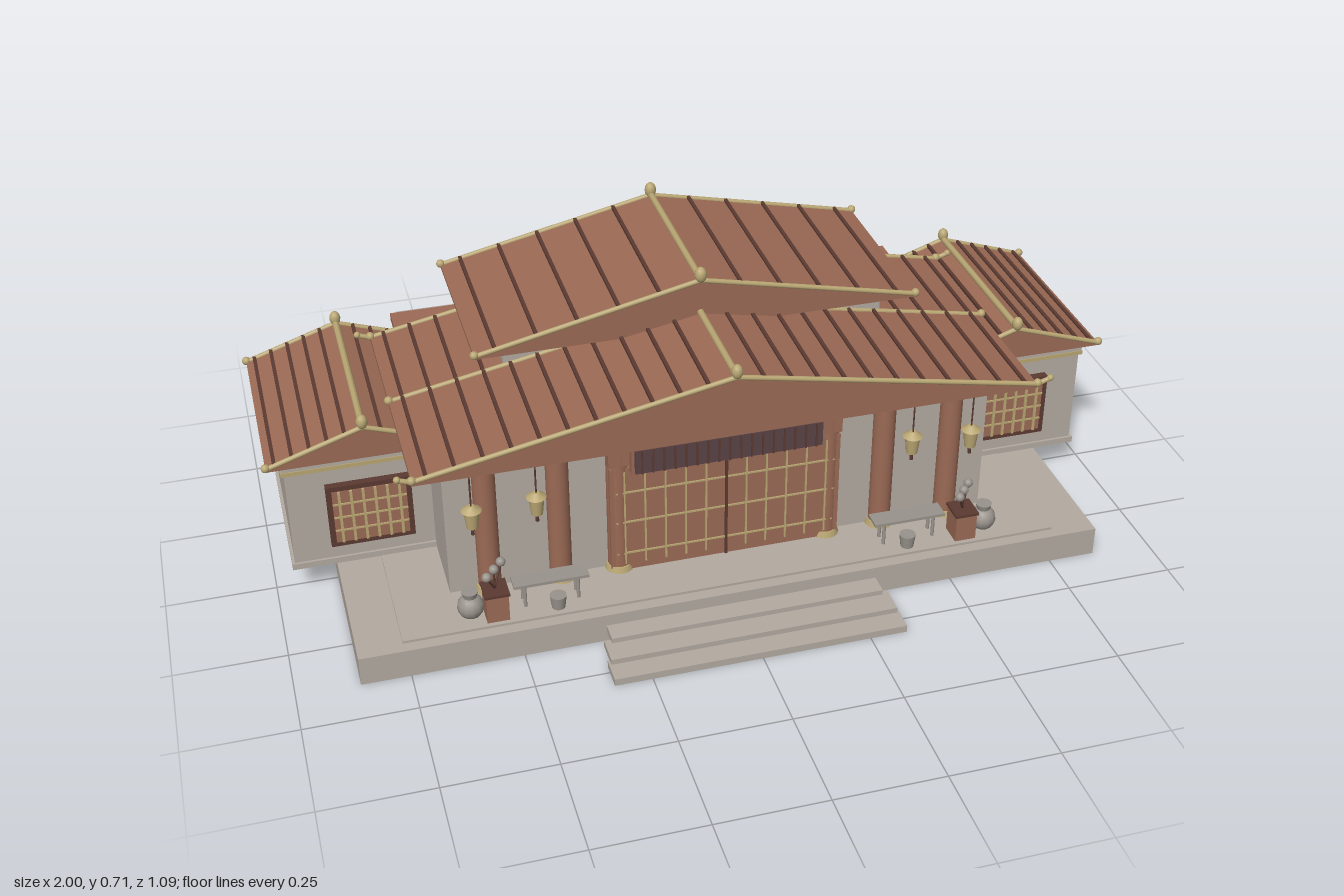
import * as THREE from 'three';

const mat = (name, color, extra = {}) => Object.assign(new THREE.MeshStandardMaterial({ color, ...extra }), { name });

export function createModel() {
  const M = {
    stone: mat('pale stone', 0xb3aaa1),
    tile: mat('terracotta', 0x9b6a55),
    dark: mat('dark wood', 0x5a3a31),
    gold: mat('old gold', 0xb9a673),
    grate: mat('plum grate', 0x5a4347),
    pot: mat('grey ceramic', 0x99938c),
  };
  const root = new THREE.Group();
  root.name = 'courtyardHall';

  const add = (name, geo, m, x = 0, y = 0, z = 0) => {
    const mesh = new THREE.Mesh(geo, m);
    mesh.name = name;
    mesh.position.set(x, y, z);
    root.add(mesh);
    return mesh;
  };
  // box given by its limits on each axis
  const box = (name, m, x0, x1, y0, y1, z0, z1) =>
    add(name, new THREE.BoxGeometry(Math.abs(x1 - x0), y1 - y0, z1 - z0), m, (x0 + x1) / 2, (y0 + y1) / 2, (z0 + z1) / 2);
  const cyl = (name, m, x, z, y0, y1, r0, r1 = r0) =>
    add(name, new THREE.CylinderGeometry(r1, r0, y1 - y0, 16), m, x, (y0 + y1) / 2, z);
  const ball = (name, m, x, y, z, r, stretch = 1) => {
    add(name, new THREE.SphereGeometry(r, 12, 8), m, x, y, z).scale.y = stretch;
  };
  const rod = (name, m, a, b, r) => {
    const p = new THREE.Vector3(...a), q = new THREE.Vector3(...b), d = q.clone().sub(p);
    const mesh = add(name, new THREE.CylinderGeometry(r, r, d.length(), 8), m);
    mesh.position.copy(p).add(q).multiplyScalar(0.5);
    mesh.quaternion.setFromUnitVectors(new THREE.Vector3(0, 1, 0), d.normalize());
  };
  const prism = (name, m, pts, z0, z1) => {
    const shape = new THREE.Shape(pts.map(p => new THREE.Vector2(...p)));
    add(name, new THREE.ExtrudeGeometry(shape, { depth: z1 - z0, bevelEnabled: false }), m, 0, 0, z0);
  };

  // gable roof: solid prism, battens along z, trim on the slopes, ridge and finials
  const roof = (name, cx, half, yb, ye, ya, z0, z1, battens, big) => {
    prism(name, M.tile, [[cx - half, yb], [cx + half, yb], [cx + half, ye], [cx, ya], [cx - half, ye]], z0, z1);
    const yAt = t => ya + (ye - ya) * t;
    for (const s of [-1, 1]) {
      for (let i = 1; i <= battens; i++) {
        const t = i / (battens + 0.5), x = cx + s * half * t;
        box(name + 'Batten', M.dark, x - 0.004, x + 0.004, yAt(t) - 0.004, yAt(t) + 0.006, z0, z1);
      }
      for (const z of [z0, z1]) {
        rod(name + 'SlopeTrim', M.gold, [cx, ya, z], [cx + s * half, ye, z], 0.006);
        ball(name + 'EaveKnob', M.gold, cx + s * half, ye + 0.003, z, 0.01);
      }
    }
    rod(name + 'Ridge', M.gold, [cx, ya + 0.004, z0], [cx, ya + 0.004, z1], 0.008);
    for (const z of [z0, z1]) ball(name + 'Finial', M.gold, cx, ya + 0.014, z, big, 1.35);
  };

  // terrace and steps
  box('terrace', M.stone, -0.86, 0.86, 0, 0.07, -0.545, 0.392);
  box('terraceInlay', M.stone, -0.76, 0.76, 0.07, 0.076, -0.5, 0.365);
  box('lowerStep', M.stone, -0.335, 0.335, 0, 0.017, 0.48, 0.545);
  box('middleStep', M.stone, -0.33, 0.33, 0.014, 0.03, 0.427, 0.495);
  box('upperStep', M.stone, -0.315, 0.315, 0.026, 0.042, 0.39, 0.44);

  // main hall
  box('mainWalls', M.stone, -0.632, 0.632, 0.074, 0.39, -0.47, 0.225);
  box('backWall', M.stone, -0.62, 0.62, 0.074, 0.404, -0.482, -0.46);
  box('flatRoofDeck', M.tile, -0.636, 0.636, 0.388, 0.406, -0.475, 0.225);
  box('porchBeam', M.tile, -0.64, 0.64, 0.412, 0.433, 0.19, 0.255);
  box('beamTrim', M.gold, -0.64, 0.64, 0.433, 0.438, 0.192, 0.258);

  // upper storey and roofs
  box('upperWalls', M.stone, -0.445, 0.445, 0.405, 0.565, -0.34, 0);
  roof('upperRoof', 0, 0.515, 0.556, 0.564, 0.677, -0.395, 0.042, 5, 0.014);
  const eave = 0.455, apex = 0.592, half = 0.705;
  roof('frontRoof', 0, half, 0.444, eave, apex, 0, 0.323, 11, 0.013);

  for (const s of [-1, 1]) {
    // roof wings running back beside the upper storey
    const slopeY = x => apex + (eave - apex) * x / half;
    const wing = [[0.44, 0.444], [half, 0.444], [half, eave], [0.44, slopeY(0.44)]].map(([x, y]) => [s * x, y]);
    prism('roofWing', M.tile, s > 0 ? wing : wing.reverse(), -0.29, 0);
    for (let i = 8; i <= 11; i++) {
      const x = s * half * i / 11.5, y = slopeY(Math.abs(x));
      box('roofWingBatten', M.dark, x - 0.004, x + 0.004, y - 0.004, y + 0.006, -0.29, 0);
    }
    rod('roofWingTrim', M.gold, [s * 0.45, slopeY(0.45), -0.29], [s * half, eave, -0.29], 0.006);
    ball('roofWingKnob', M.gold, s * half, eave + 0.003, -0.29, 0.01);
    for (const z of [0.323, -0.29]) {
      rod('upturnedTip', M.gold, [s * half, eave, z], [s * 0.735, 0.465, z], 0.006);
      ball('tipKnob', M.gold, s * 0.735, 0.466, z, 0.008);
    }

    // side pavilion
    box('pavilionWalls', M.stone, s * 0.59, s * 0.953, 0.075, 0.362, -0.395, 0.04);
    box('pavilionPlinth', M.stone, s * 0.6, s * 0.96, 0.075, 0.09, -0.4, 0.046);
    box('pavilionCornice', M.gold, s * 0.6, s * 0.96, 0.329, 0.339, -0.4, 0.046);
    box('pavilionFrieze', M.stone, s * 0.6, s * 0.958, 0.339, 0.352, -0.398, 0.044);
    roof('pavilionRoof', s * 0.773, 0.217, 0.358, 0.366, 0.438, -0.408, 0.06, 5, 0.013);

    // pavilion window
    box('windowFrame', M.dark, s * 0.678, s * 0.868, 0.13, 0.29, 0.04, 0.058);
    box('windowPanel', M.tile, s * 0.69, s * 0.856, 0.142, 0.278, 0.05, 0.06);
    for (let i = 0; i < 6; i++) {
      const x = s * (0.773 + (i - 2.5) * 0.027);
      box('windowBar', M.gold, x - 0.003, x + 0.003, 0.142, 0.278, 0.058, 0.064);
    }
    for (const y of [0.175, 0.21, 0.245]) box('windowCrossbar', M.gold, s * 0.69, s * 0.856, y - 0.002, y + 0.002, 0.058, 0.063);

    // porch columns, the inner pair flanking the doors
    for (const x of [0.245, 0.38, 0.542]) {
      cyl('column', M.tile, s * x, 0.23, 0.075, 0.412, 0.026);
      cyl('columnBase', M.gold, s * x, 0.23, 0.076, 0.09, 0.034, 0.03);
      cyl('columnCapital', M.gold, s * x, 0.23, 0.402, 0.412, 0.027, 0.032);
    }
    box('doorBracket', M.tile, s * 0.222, s * 0.27, 0.362, 0.41, 0.22, 0.255);

    // hanging lanterns
    for (const [x, y] of [[0.435, 0.308], [0.578, 0.3]]) {
      rod('lanternCord', M.dark, [s * x, y + 0.03, 0.27], [s * x, 0.445, 0.27], 0.002);
      cyl('lanternBody', M.gold, s * x, 0.27, y - 0.022, y + 0.022, 0.013, 0.018);
      cyl('lanternCap', M.gold, s * x, 0.27, y + 0.022, y + 0.034, 0.023, 0.007);
      cyl('lanternTassel', M.dark, s * x, 0.27, y - 0.042, y - 0.022, 0.004);
    }

    // planter with flowers, and a round jar
    box('planter', M.tile, s * 0.522, s * 0.572, 0.076, 0.142, 0.3, 0.355);
    box('planterRim', M.dark, s * 0.519, s * 0.575, 0.142, 0.148, 0.297, 0.358);
    for (const [dx, dz] of [[-0.02, 0.024], [0, 0], [0.02, -0.024]]) {
      rod('stem', M.dark, [s * 0.547, 0.146, 0.326], [s * 0.547 + dx, 0.195, 0.326 + dz], 0.0025);
      ball('flower', M.pot, s * 0.547 + dx, 0.197, 0.326 + dz, 0.011);
    }
    ball('jar', M.pot, s * 0.602, 0.107, 0.322, 0.03);
    cyl('jarNeck', M.pot, s * 0.602, 0.322, 0.13, 0.147, 0.014, 0.019);

    // low table and stool
    box('tableTop', M.pot, s * 0.335, s * 0.505, 0.131, 0.138, 0.28, 0.325);
    for (const x of [0.36, 0.48]) for (const z of [0.288, 0.317]) cyl('tableLeg', M.pot, s * x, z, 0.076, 0.131, 0.004);
    cyl('stool', M.pot, s * 0.41, 0.338, 0.076, 0.108, 0.015, 0.019);
  }

  // double doors with a gold lattice
  box('doorPanel', M.tile, -0.268, 0.268, 0.078, 0.354, 0.22, 0.252);
  box('doorSeam', M.dark, -0.003, 0.003, 0.078, 0.354, 0.25, 0.256);
  for (let i = -5; i <= 5; i++) {
    if (i) box('doorBar', M.gold, i * 0.047 - 0.002, i * 0.047 + 0.002, 0.095, 0.345, 0.25, 0.255);
  }
  for (const y of [0.125, 0.21, 0.29]) box('doorRail', M.gold, -0.255, 0.255, y - 0.002, y + 0.002, 0.25, 0.255);

  // grated transom above the doors
  box('transomFrame', M.tile, -0.222, 0.222, 0.347, 0.418, 0.252, 0.272);
  box('transomGrate', M.grate, -0.215, 0.215, 0.353, 0.413, 0.262, 0.28);
  for (let i = -8; i <= 8; i++) box('transomSlat', M.dark, i * 0.025 - 0.002, i * 0.025 + 0.002, 0.353, 0.413, 0.279, 0.283);

  return root;
}
